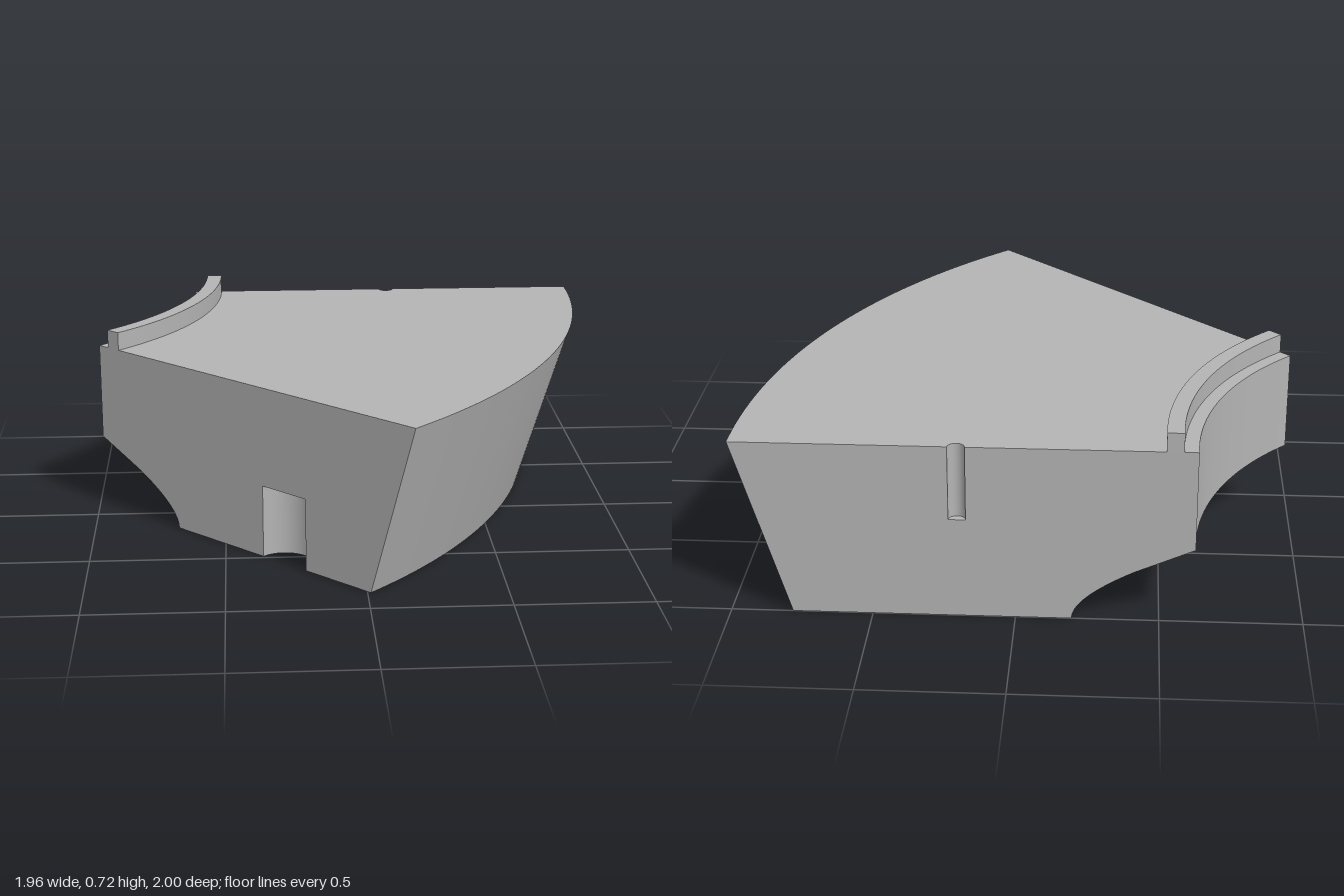
import * as THREE from 'three';

// Plan: a 45 degree sector turned about a vertical axis at (AXIS_X, -1)
const AXIS_X = -1.848, SWEEP = Math.PI / 4, SEG = 48;
const R_IN = 1.228, R_OUT = 2.828, R_FOOT = 1.652, R_BASE = 2.63;
const LIP_IN = 1.278, LIP_OUT = 1.338, TOP = 0.65, LIP_TOP = 0.72;
const backNotch = { r: 2.048, size: 0.03, floor: 0.375 };
const endNotch = { r: 2.21, size: 0.107, roof: 0.275 };
const v = (x, y) => new THREE.Vector2(x, y);

// Concave underside between the inner wall and the foot, from top to bottom
const cove = [
  v(R_IN, 0.28),
  ...new THREE.QuadraticBezierCurve(v(1.44, 0.187), v(R_FOOT, 0.08), v(R_FOOT, 0)).getPoints(16),
];

// Outline of a level face, with z multiplied by s; the notches cut its straight edges
function planShape(rIn, rOut, s, notch) {
  const pts = [], n = 16;
  const polar = (r, a) => pts.push(v(r * Math.cos(a), s * r * Math.sin(a)));
  for (let i = 0; i <= SEG; i++) polar(rIn, SWEEP * i / SEG);
  if (notch === 'end') {
    const c = Math.SQRT1_2;
    for (let i = n; i >= 0; i--) {
      const t = Math.PI * i / n;
      const along = endNotch.r + endNotch.size * Math.cos(t), deep = endNotch.size * Math.sin(t);
      pts.push(v(c * (along + deep), s * c * (along - deep)));
    }
  }
  for (let i = SEG; i >= 0; i--) polar(rOut, SWEEP * i / SEG);
  if (notch === 'back') {
    for (let i = 0; i <= n; i++) {
      const t = Math.PI * i / n;
      pts.push(v(backNotch.r + backNotch.size * Math.cos(t), s * backNotch.size * Math.sin(t)));
    }
  }
  return new THREE.Shape(pts);
}

// Radial section of the block with a rectangular gap where a notch opens
function sectionShape(s, notch) {
  const pts = [v(R_FOOT, 0)];
  if (notch === 'end') {
    const a = endNotch.r - endNotch.size, b = endNotch.r + endNotch.size;
    pts.push(v(a, 0), v(a, endNotch.roof), v(b, endNotch.roof), v(b, 0));
  }
  pts.push(v(R_BASE, 0), v(R_OUT, TOP));
  if (notch === 'back') {
    const a = backNotch.r - backNotch.size, b = backNotch.r + backNotch.size;
    pts.push(v(b, TOP), v(b, backNotch.floor), v(a, backNotch.floor), v(a, TOP));
  }
  pts.push(v(LIP_OUT, TOP), v(LIP_OUT, LIP_TOP), v(LIP_IN, LIP_TOP), v(LIP_IN, TOP), v(R_IN, TOP));
  pts.push(...cove.slice(0, -1));
  return new THREE.Shape(pts.map(p => v(p.x * s, p.y)));
}

export function createModel() {
  const grey = new THREE.MeshStandardMaterial({ color: 0xb4b4b4 });
  grey.name = 'grey';
  const model = new THREE.Group();
  model.name = 'curvedBlock';
  const add = (name, geometry) => {
    const mesh = new THREE.Mesh(geometry, grey);
    mesh.name = name;
    mesh.position.set(AXIS_X, 0, -1);
    model.add(mesh);
    return mesh;
  };
  const sweep = (name, pts) => add(name, new THREE.LatheGeometry(pts, SEG, SWEEP, SWEEP));

  // Curved walls
  sweep('outerWall', [v(R_BASE, 0), v(R_OUT, TOP)]);
  sweep('innerWall', [v(R_IN, TOP), v(R_IN, 0.28)]);
  sweep('coveUnderside', cove);

  // Raised lip along the inner edge
  sweep('lipOuterFace', [v(LIP_OUT, TOP), v(LIP_OUT, LIP_TOP)]);
  sweep('lipTop', [v(LIP_OUT, LIP_TOP), v(LIP_IN, LIP_TOP)]);
  sweep('lipInnerFace', [v(LIP_IN, LIP_TOP), v(LIP_IN, TOP)]);
  sweep('innerLedge', [v(LIP_IN, TOP), v(R_IN, TOP)]);

  // Level faces
  const top = new THREE.ShapeGeometry(planShape(LIP_OUT, R_OUT, -1, 'back'));
  add('topFace', top.rotateX(-Math.PI / 2).translate(0, TOP, 0));
  const base = new THREE.ShapeGeometry(planShape(R_FOOT, R_BASE, 1, 'end'));
  add('bottomFace', base.rotateX(Math.PI / 2));

  // Flat end faces
  add('backFace', new THREE.ShapeGeometry(sectionShape(-1, 'back')).rotateY(Math.PI));
  add('frontFace', new THREE.ShapeGeometry(sectionShape(1, 'end')).rotateY(-SWEEP));

  // Half-round notches: curved wall, then the flat that closes it
  const notch = (name, pts, start, x, z) => {
    for (let i = 0; i < 2; i++) {
      const geometry = new THREE.LatheGeometry([pts[i], pts[i + 1]], 16, start, Math.PI);
      add(name + (i + 1), geometry.translate(x, 0, z));
    }
  };
  const { size: b, floor } = backNotch, { size: e, roof } = endNotch;
  notch('backNotch', [v(b, TOP), v(b, floor), v(0, floor)], -Math.PI / 2, backNotch.r, 0);
  const d = endNotch.r * Math.SQRT1_2;
  notch('frontNotch', [v(0, roof), v(e, roof), v(e, 0)], Math.PI / 4, d, d);

  return model;
}
